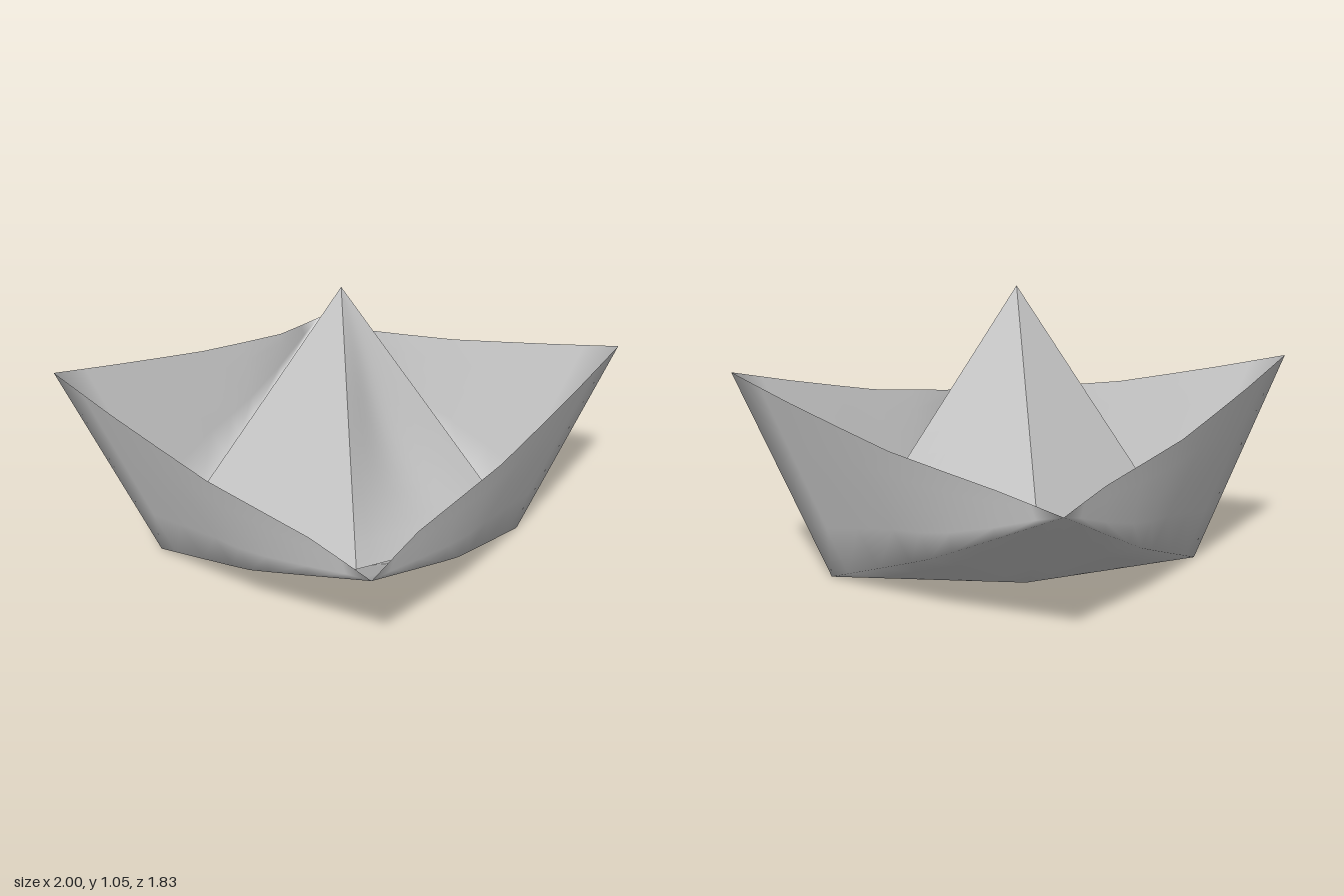
import * as THREE from 'three';
import { mergeGeometries, mergeVertices } from 'three/addons/utils/BufferGeometryUtils.js';

const V = (x, y, z) => new THREE.Vector3(x, y, z);
const material = new THREE.MeshStandardMaterial({ color: 0xcccccc, side: THREE.DoubleSide });

// Sheet over a regular grid, mirrored into the quarter (sx, sz) with its outside facing out
function sheet(point, nu, nv, sx, sz) {
  const positions = [], index = [];
  for (let j = 0; j <= nv; j++) {
    for (let i = 0; i <= nu; i++) {
      const p = point(i / nu, j / nv);
      positions.push(p.x * sx, p.y, p.z * sz);
    }
  }
  for (let j = 0; j < nv; j++) {
    for (let i = 0; i < nu; i++) {
      const a = j * (nu + 1) + i, b = a + nu + 1;
      if (sx * sz > 0) index.push(a, a + 1, b, a + 1, b + 1, b);
      else index.push(a, b, a + 1, a + 1, b, b + 1);
    }
  }
  const geometry = new THREE.BufferGeometry();
  geometry.setAttribute('position', new THREE.Float32BufferAttribute(positions, 3));
  geometry.setIndex(index);
  return geometry;
}

export function createModel() {
  const group = new THREE.Group();
  const add = (name, geometry) => {
    geometry.computeVertexNormals();
    const mesh = new THREE.Mesh(geometry, material);
    mesh.name = name;
    group.add(mesh);
  };

  // Key points of one quarter of the folded boat
  const keelEnd = V(0.68, 0, 0);
  const baseMid = V(0, 0.02, 0.22);
  const centre = V(0, 0.005, 0);
  const sideTip = V(0, 0.488, 0.917);
  const apex = V(0, 1.05, 0);
  const sailFoot = V(0, 0.23, 0.51);

  // Nearly straight runs with softened corners
  const fold = (...points) => new THREE.CatmullRomCurve3(points, false, 'catmullrom', 0.12);
  const rim = fold(V(1, 0.77, 0), V(0.8, 0.695, 0.185), V(0.49, 0.59, 0.46), V(0.175, 0.52, 0.715), sideTip);
  const crease = fold(keelEnd, V(0.36, 0.21, 0.45), sideTip);

  const upper = (u, v) => rim.getPoint(u).lerp(crease.getPoint(u), v);
  const lower = (u, v) => crease.getPoint(u).lerp(baseMid, v);
  const bottom = (u, v) => keelEnd.clone().lerp(baseMid, u).lerp(centre, v);

  // Sail quarter between two straight ridges, hollowed towards the mast line by depth
  const sail = (depth) => (u, v) => {
    const p = apex.clone().lerp(keelEnd.clone().lerp(sailFoot, u), v);
    const k = 1 - depth * Math.sin(Math.PI * u) * Math.sin(Math.PI * v);
    return V(p.x * k, p.y, p.z * k);
  };

  const hull = [];
  for (const sx of [1, -1]) {
    for (const sz of [1, -1]) {
      hull.push(sheet(upper, 8, 4, sx, sz), sheet(lower, 8, 4, sx, sz), sheet(bottom, 4, 2, sx, sz));
      const side = (sz > 0 ? 'front' : 'back') + (sx > 0 ? 'Left' : 'Right');
      // Only the front left quarter of the sail is open and hollow
      add(side + 'Sail', sheet(sail(sx > 0 && sz > 0 ? 0.25 : 0), 12, 12, sx, sz));
    }
  }
  // One welded hull so the folds shade softly
  add('hull', mergeVertices(mergeGeometries(hull), 1e-4));
  return group;
}
